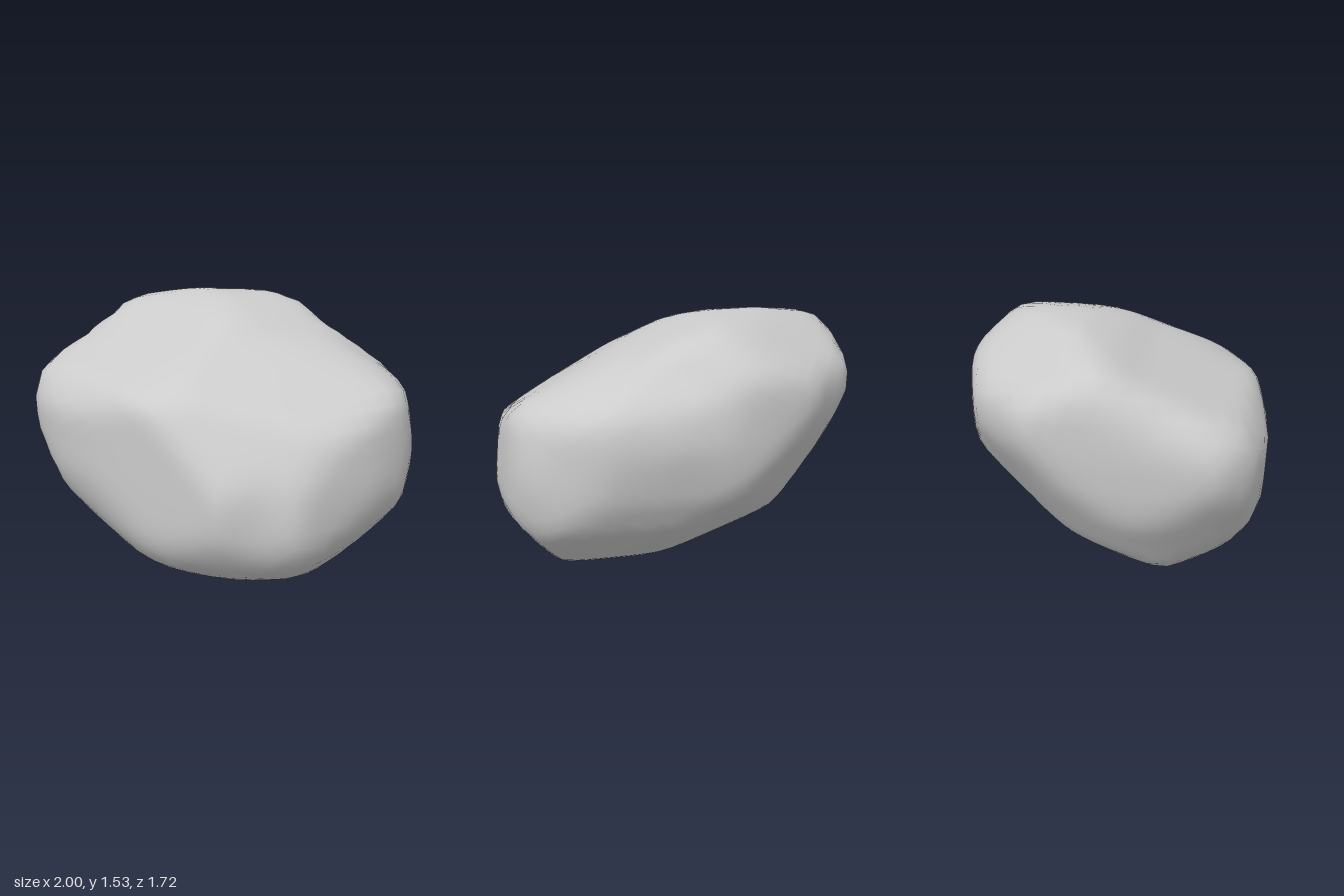
import * as THREE from 'three';
import { mergeVertices } from 'three/addons/utils/BufferGeometryUtils.js';

const MID = 0.767; // height of the boulder's centre

// Outlines of the boulder around its centre, along six directions: [across, up] pairs
const across = [
  [-.97, .66], [-.82, .71], [-.5, .768], [-.2, .758], [.04, .683], [.2, .603], [.44, .523], [.75, .403], [.92, .363],
  [1, -.127], [.94, -.387], [.86, -.527], [.7, -.667], [.43, -.767], [.11, -.737], [-.2, -.697], [-.67, -.6],
  [-.76, -.427], [-.93, -.167], [-.97, 0], [-1, .233], [-1, .513]];
const side = [
  [-.865, .183], [-.72, .373], [-.63, .403], [-.2, .593], [-.04, .683], [.17, .768], [.48, .758], [.69, .693],
  [.81, .493], [.865, .183], [.78, -.127], [.68, -.317], [.35, -.602], [.17, -.682], [-.14, -.767], [-.27, -.737],
  [-.45, -.727], [-.65, -.637], [-.73, -.457], [-.84, -.127]];
const plan = [
  [-.99, .37], [-.82, .54], [-.72, .68], [-.2, .84], [.11, .867], [.43, .83], [.89, .64], [.94, .5], [1, .18],
  [.93, -.13], [.9, -.32], [.74, -.44], [.62, -.62], [.44, -.66], [-.2, -.82], [-.5, -.862], [-.8, -.81],
  [-.97, -.68], [-1, 0]];
const frontSlant = [
  [-1.175, .32], [-.885, .59], [-.6, .945], [-.38, .97], [.01, .97], [.24, .91], [.39, .83], [.52, .68], [.92, .41],
  [1.04, .22], [1.083, 0], [1, -.39], [.495, -.82], [.34, -.865], [.06, -.865], [-.28, -.82], [-.47, -.745],
  [-.96, -.32], [-1.135, .02], [-1.175, .2]];
const backSlant = [
  [-1.083, 0], [-.98, .415], [-.885, .47], [-.3, .56], [.16, .62], [.55, .56], [1.18, .33], [1.175, .165],
  [1.14, -.02], [.7, -.61], [.28, -.655], [-.37, -.61], [-.555, -.555], [-.68, -.495], [-1.04, -.245]];
const underSlant = [
  [-.455, .76], [-.06, .78], [.14, .765], [.435, .83], [.58, .805], [.76, .71], [.89, .58], [.97, .4], [.977, .07],
  [.765, -.28], [.48, -.66], [.34, -.84], [.29, -.85], [-.31, -.81], [-.5, -.75], [-.595, -.67], [-.865, -.32],
  [-.9, -.085], [-.83, .165], [-.645, .575], [-.555, .69]];

// Broad worn faces: outward direction and distance from the centre
const faces = [
  { normal: [.61, .5, .61], distance: .71 },    // front left shoulder
  { normal: [-.61, -.5, -.61], distance: .71 }, // hollow under the back right
  { normal: [-.3, -.7, -.6], distance: .65 },   // underside towards the back
  { normal: [-.39, .83, -.39], distance: .92 }, // crown, back right
  { normal: [.61, -.5, .61], distance: .93 },   // lower front left
  { normal: [.61, -.5, -.61], distance: 1.03 }, // lower back left
  { normal: [-.61, .5, .61], distance: 1.13 },  // upper front right
].map(({ normal, distance }) => ({ normal: new THREE.Vector3(...normal).normalize(), distance }));

// Pair an outline with the plane it lies in (turn and tilt in degrees)
function section(outline, turn, tilt) {
  const a = THREE.MathUtils.degToRad(turn), e = THREE.MathUtils.degToRad(tilt);
  return {
    outline,
    right: new THREE.Vector3(Math.cos(a), 0, -Math.sin(a)),
    up: new THREE.Vector3(-Math.sin(e) * Math.sin(a), Math.cos(e), -Math.sin(e) * Math.cos(a)),
  };
}

// How far a direction runs before its projection meets the outline
function reachOutline({ outline, right, up }, dir) {
  const u = dir.dot(right), v = dir.dot(up);
  let best = 0;
  outline.forEach(([px, py], i) => {
    const [qx, qy] = outline[(i + 1) % outline.length];
    const ex = qx - px, ey = qy - py;
    const det = u * ey - v * ex;
    if (Math.abs(det) < 1e-9) return;
    const t = (px * ey - py * ex) / det;
    const s = (px * v - py * u) / det;
    if (t > 0 && s >= -1e-6 && s <= 1 + 1e-6) best = Math.max(best, t);
  });
  return best > 0 ? Math.min(best, 4) : 4;
}

// How far a direction runs before it meets a worn face
function reachFace({ normal, distance }, dir) {
  return distance / Math.max(dir.dot(normal), distance / 4);
}

export function createModel() {
  const sections = [
    section(across, 0, 0), section(side, 90, 0), section(plan, 0, 90),
    section(frontSlant, 45, 30), section(backSlant, 225, 30), section(underSlant, 135, -30),
  ];

  // Even sphere with shared vertices, so the shading stays smooth
  let geo = new THREE.IcosahedronGeometry(1, 13);
  geo.deleteAttribute('uv');
  geo.deleteAttribute('normal');
  geo = mergeVertices(geo, 1e-4);

  // Carve the sphere by all outlines and faces with a softened minimum;
  // the small surplus makes up for what the softening wears off the rims
  const pos = geo.attributes.position, dir = new THREE.Vector3(), P = 36, SURPLUS = 1.021;
  for (let i = 0; i < pos.count; i++) {
    dir.fromBufferAttribute(pos, i).normalize();
    const limits = [
      ...sections.map((s) => reachOutline(s, dir)),
      ...faces.map((f) => reachFace(f, dir)),
    ];
    const sum = limits.reduce((acc, r) => acc + r ** -P, 0);
    dir.multiplyScalar(SURPLUS * sum ** (-1 / P));
    pos.setXYZ(i, dir.x, dir.y + MID, dir.z);
  }
  geo.computeVertexNormals();

  const boulder = new THREE.Mesh(geo, new THREE.MeshStandardMaterial({ color: 0xcccccc }));
  boulder.name = 'boulder';
  const group = new THREE.Group();
  group.name = 'rock';
  group.add(boulder);
  return group;
}
